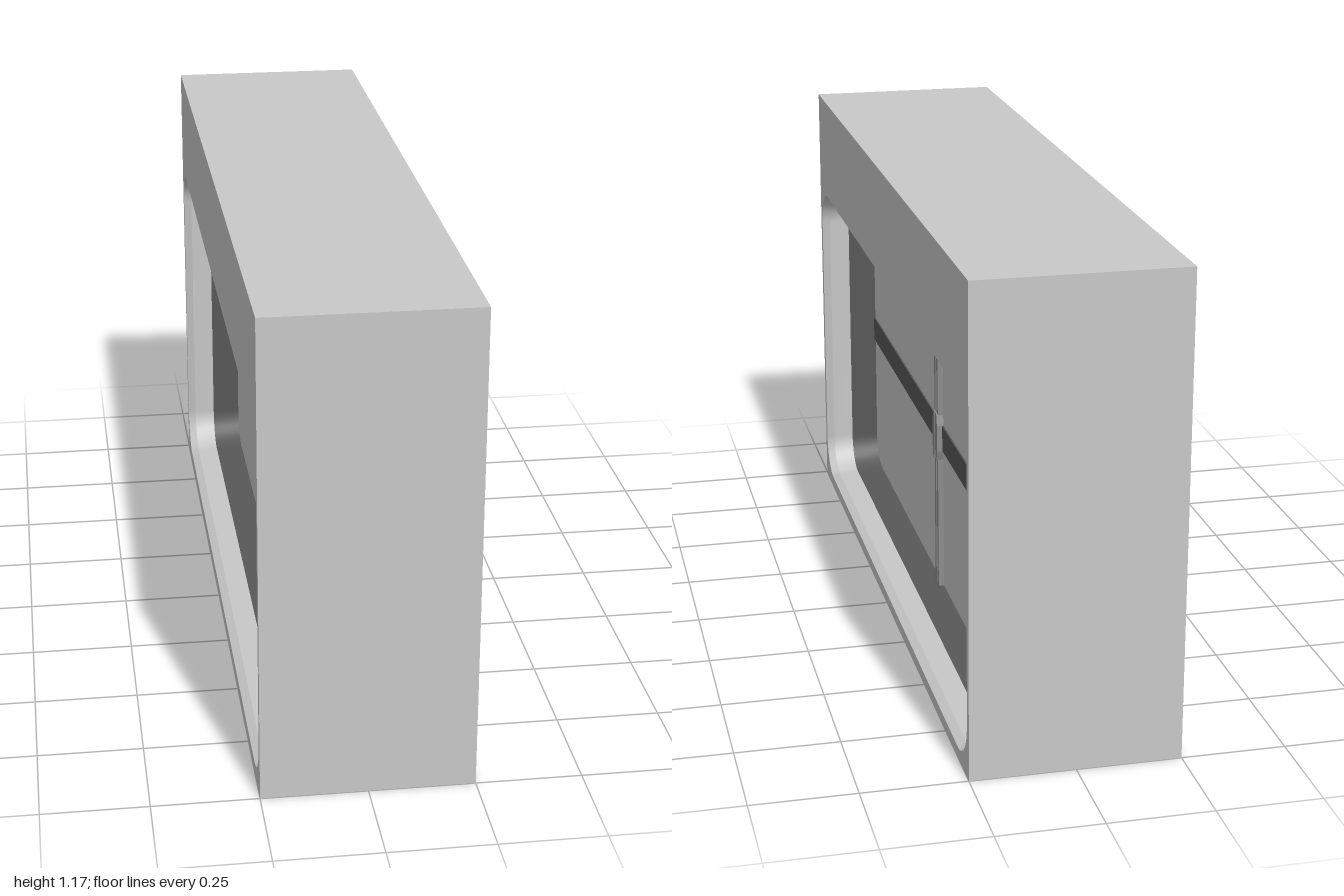
import * as THREE from 'three';

const W = 0.5, H = 1.17, L = 2;
const CY = 0.46; // height of the window centre
const FLOOR = 0.1; // distance of the recessed panel from the middle plane

const mat = (name, color) => {
  const m = new THREE.MeshStandardMaterial({ color });
  m.name = name;
  return m;
};

// Rounded rectangle, counter-clockwise, shrunk by an inset
function outline(inset) {
  const r = 0.1 - inset, cx = 0.88, cy = 0.334, steps = 10, pts = [];
  [[1, 1], [-1, 1], [-1, -1], [1, -1]].forEach(([sx, sy], q) => {
    for (let i = 0; i <= steps; i++) {
      const a = (q + i / steps) * Math.PI / 2;
      pts.push(new THREE.Vector2(sx * cx + r * Math.cos(a), CY + sy * cy + r * Math.sin(a)));
    }
  });
  return pts;
}

// Inward-facing wall between two outlines at different depths
function wall(insetA, zA, insetB, zB) {
  const a = outline(insetA), b = outline(insetB), n = a.length, pos = [], idx = [];
  for (let i = 0; i < n; i++) {
    pos.push(a[i].x, a[i].y, zA, b[i].x, b[i].y, zB);
    const p = 2 * i, q = 2 * ((i + 1) % n);
    idx.push(p, q, p + 1, q, q + 1, p + 1);
  }
  const g = new THREE.BufferGeometry();
  g.setAttribute('position', new THREE.Float32BufferAttribute(pos, 3));
  g.setIndex(idx);
  g.computeVertexNormals();
  return g;
}

export function createModel() {
  const light = mat('light grey', 0xc8c8c8);
  const dark = mat('dark grey', 0x585858);
  const mid = mat('middle grey', 0x8c8c8c);
  const model = new THREE.Group();

  const add = (parent, name, geometry, material, x = 0, y = 0, z = 0) => {
    const m = new THREE.Mesh(geometry, material);
    m.name = name;
    m.position.set(x, y, z);
    parent.add(m);
  };

  // Casing without its two long faces
  const casing = new THREE.BoxGeometry(W, H, L);
  casing.setIndex(Array.from(casing.index.array).slice(12));
  casing.clearGroups();
  add(model, 'casing', casing, light, 0, H / 2, 0);

  // Long sides, built facing +z and then turned outwards
  for (const s of [1, -1]) {
    const side = new THREE.Group();
    side.name = s > 0 ? 'leftSide' : 'rightSide';
    side.rotation.y = s * Math.PI / 2;
    model.add(side);

    const face = new THREE.Shape([
      new THREE.Vector2(-L / 2, 0), new THREE.Vector2(L / 2, 0),
      new THREE.Vector2(L / 2, H), new THREE.Vector2(-L / 2, H),
    ]);
    face.holes.push(new THREE.Path(outline(0)));
    add(side, 'sideFace', new THREE.ShapeGeometry(face), light, 0, 0, W / 2);

    // Recess: bevelled rim, light reveal, dark seal
    add(side, 'rim', wall(0, W / 2, 0.01, W / 2 - 0.02), light);
    add(side, 'reveal', wall(0.01, W / 2 - 0.02, 0.013, 0.175), light);
    add(side, 'seal', wall(0.013, 0.175, 0.018, FLOOR), dark);
    add(side, 'panel', new THREE.ShapeGeometry(new THREE.Shape(outline(0.018))), light, 0, 0, FLOOR);

    // Stripe, centre divider and latch
    add(side, 'stripe', new THREE.BoxGeometry(1.924, 0.068, 0.004), dark, 0, 0.462, FLOOR + 0.002);
    for (const d of [-1, 1]) {
      add(side, 'dividerStrip', new THREE.BoxGeometry(0.016, 0.832, 0.014), mid, d * 0.013, CY, FLOOR + 0.007);
    }
    add(side, 'dividerGap', new THREE.BoxGeometry(0.01, 0.832, 0.008), dark, 0, CY, FLOOR + 0.004);
    for (const d of [-1, 1]) {
      const latch = new THREE.Shape([
        new THREE.Vector2(0.005, -0.065), new THREE.Vector2(0.02, -0.065), new THREE.Vector2(0.028, -0.035),
        new THREE.Vector2(0.028, 0.035), new THREE.Vector2(0.02, 0.065), new THREE.Vector2(0.005, 0.065),
      ].map((p) => new THREE.Vector2(d * p.x, p.y)));
      add(side, 'latch', new THREE.ExtrudeGeometry(latch, { depth: 0.018, bevelEnabled: false }), mid, 0, 0.462, FLOOR);
    }
  }
  return model;
}
